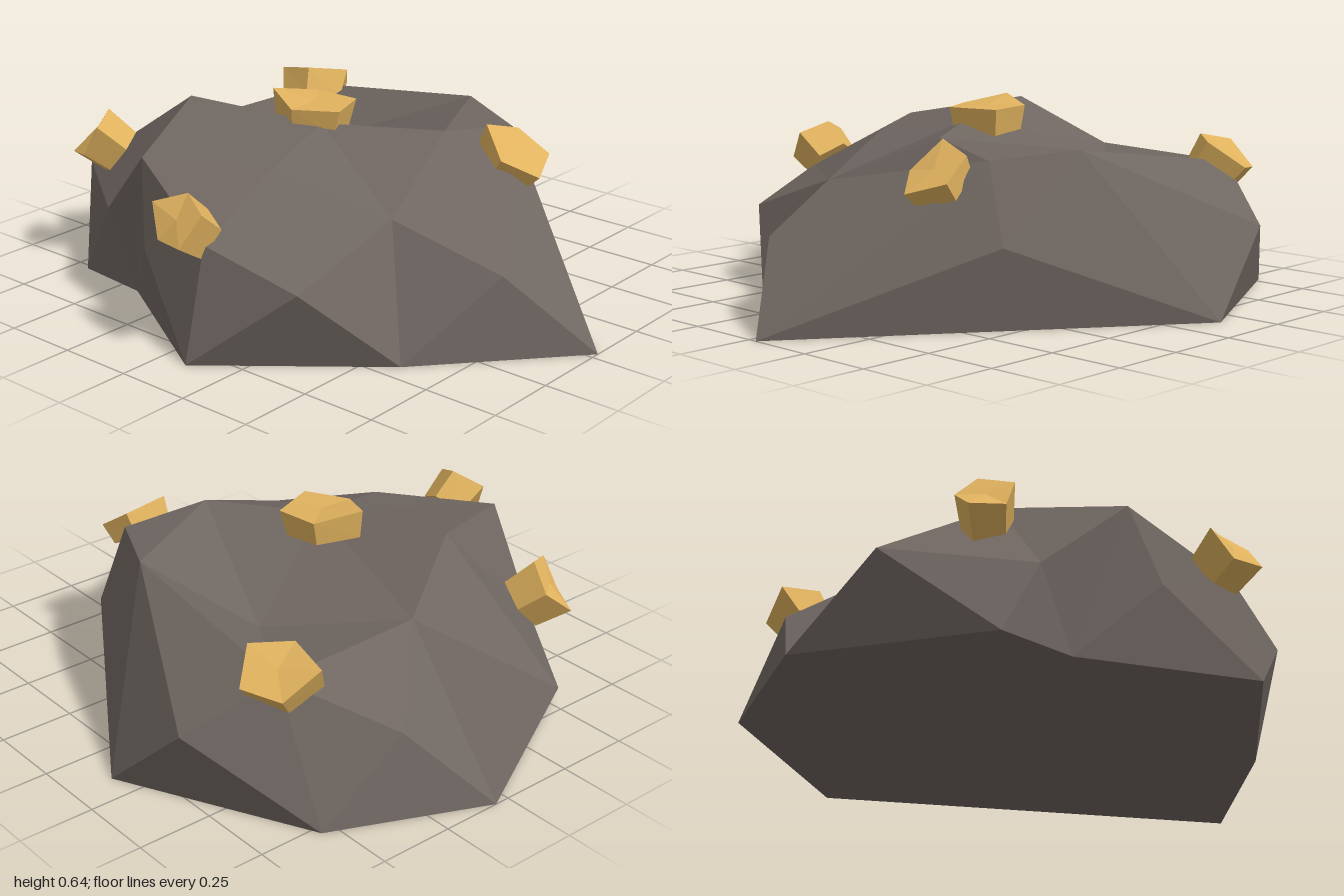
import * as THREE from 'three';

const rockMat = new THREE.MeshStandardMaterial({ color: 0x6f6661, flatShading: true });
const goldMat = new THREE.MeshStandardMaterial({ color: 0xe0b25e, flatShading: true });

// Builds a faceted mesh from a list of [a, b, c] corner triples
function facetMesh(name, tris, material) {
  const geo = new THREE.BufferGeometry();
  geo.setAttribute('position', new THREE.Float32BufferAttribute(tris.flat(2), 3));
  geo.computeVertexNormals();
  const mesh = new THREE.Mesh(geo, material);
  mesh.name = name;
  return mesh;
}

// Boulder: three rings of eight corners, closed by an uneven crown and a flat base
function makeBoulder() {
  const A = [[1, 0, -0.03], [0.6, 0, 0.43], [0.1, 0, 0.84], [-0.42, 0, 0.545],
    [-0.69, 0, 0.52], [-1, 0, -0.05], [-0.78, 0, -0.55], [-0.15, 0, -0.86]];
  const B = [[0.78, 0.26, 0.17], [0.41, 0.26, 0.68], [-0.2, 0.26, 0.71], [-0.55, 0.26, 0.54],
    [-0.94, 0.26, 0.26], [-0.83, 0.26, -0.28], [-0.43, 0.26, -0.8], [0.43, 0.26, -0.49]];
  const C = [[0.4, 0.51, -0.4], [0.44, 0.39, 0.28], [0.1, 0.36, 0.75], [-0.27, 0.525, 0.64],
    [-0.44, 0.6, 0.25], [-0.58, 0.445, -0.02], [-0.58, 0.43, -0.55], [0.13, 0.53, -0.53]];
  // crown corners: centre, hollow at the back, left shoulder, front shoulder
  const P = [0, 0.56, 0.1], Q = [-0.23, 0.38, -0.34], R = [0.33, 0.55, -0.12], S = [0.08, 0.51, 0.42];
  const tris = [];
  for (let i = 0; i < 8; i++) {
    const n = (i + 1) % 8, p = (i + 7) % 8;
    tris.push([A[i], B[i], A[n]], [B[i], C[i], C[n]]);
    // each quad folds upright, except the sloping shoulder that folds across
    if (i === 4) tris.push([A[i], B[p], B[i]], [B[p], C[i], B[i]]);
    else tris.push([A[i], C[i], B[i]], [A[i], B[p], C[i]]);
    // flat underside
    if (i !== 3 && n !== 3) tris.push([A[3], A[i], A[n]]);
  }
  // crown, every facet turned to face up
  const crown = [[P, R, C[1]], [P, C[1], S], [S, C[1], C[2]], [S, C[2], C[3]], [P, S, C[3]],
    [P, C[3], C[4]], [P, C[4], C[5]], [P, C[5], Q], [Q, C[5], C[6]], [Q, C[6], C[7]],
    [Q, C[7], R], [P, Q, R], [R, C[7], C[0]], [R, C[0], C[1]]];
  for (const [a, b, c] of crown) {
    const ny = (b[2] - a[2]) * (c[0] - a[0]) - (b[0] - a[0]) * (c[2] - a[2]);
    tris.push(ny > 0 ? [a, b, c] : [a, c, b]);
  }
  return facetMesh('boulder', tris, rockMat);
}

// Nugget: irregular five-sided chunk lying along the surface normal
function makeNugget({ name, at, normal, r, h, spin }) {
  const radii = [1, 0.82, 1.05, 0.85, 0.95];
  const lift = [0.5, 0.32, 0.55, 0.4, 0.5];
  const ring = (scale, top) => radii.map((k, i) => {
    const a = (i / 5) * Math.PI * 2 + spin;
    return [Math.cos(a) * k * r * scale, top ? lift[i] * h : -0.5 * h, Math.sin(a) * k * r * scale];
  });
  const lo = ring(0.88, false), hi = ring(1, true);
  const top = [0, 0.42 * h, 0], bottom = [0, -0.5 * h, 0];
  const tris = [];
  for (let i = 0; i < 5; i++) {
    const n = (i + 1) % 5;
    tris.push([lo[i], hi[i], hi[n]], [lo[i], hi[n], lo[n]], [top, hi[n], hi[i]], [bottom, lo[i], lo[n]]);
  }
  const mesh = facetMesh(name, tris, goldMat);
  mesh.position.set(...at);
  mesh.quaternion.setFromUnitVectors(new THREE.Vector3(0, 1, 0), new THREE.Vector3(...normal).normalize());
  return mesh;
}

export function createModel() {
  const group = new THREE.Group();
  group.name = 'oreBoulder';
  group.add(makeBoulder());
  const nuggets = [
    { name: 'topNugget', at: [-0.07, 0.575, 0.055], normal: [0.08, 1, -0.05], r: 0.145, h: 0.09, spin: 0.3 },
    { name: 'leftNugget', at: [0.49, 0.46, -0.28], normal: [0.6, 0.8, 0], r: 0.125, h: 0.075, spin: 0.2 },
    { name: 'frontNugget', at: [0.04, 0.41, 0.76], normal: [0, 0.6, 0.8], r: 0.105, h: 0.12, spin: 0.9 },
    { name: 'rightNugget', at: [-0.67, 0.43, 0.43], normal: [-0.6, 0.6, 0.5], r: 0.105, h: 0.12, spin: 0.3 },
    { name: 'backNugget', at: [-0.57, 0.43, -0.53], normal: [-0.25, 0.8, -0.5], r: 0.13, h: 0.1, spin: 0 },
  ];
  for (const n of nuggets) group.add(makeNugget(n));
  return group;
}
